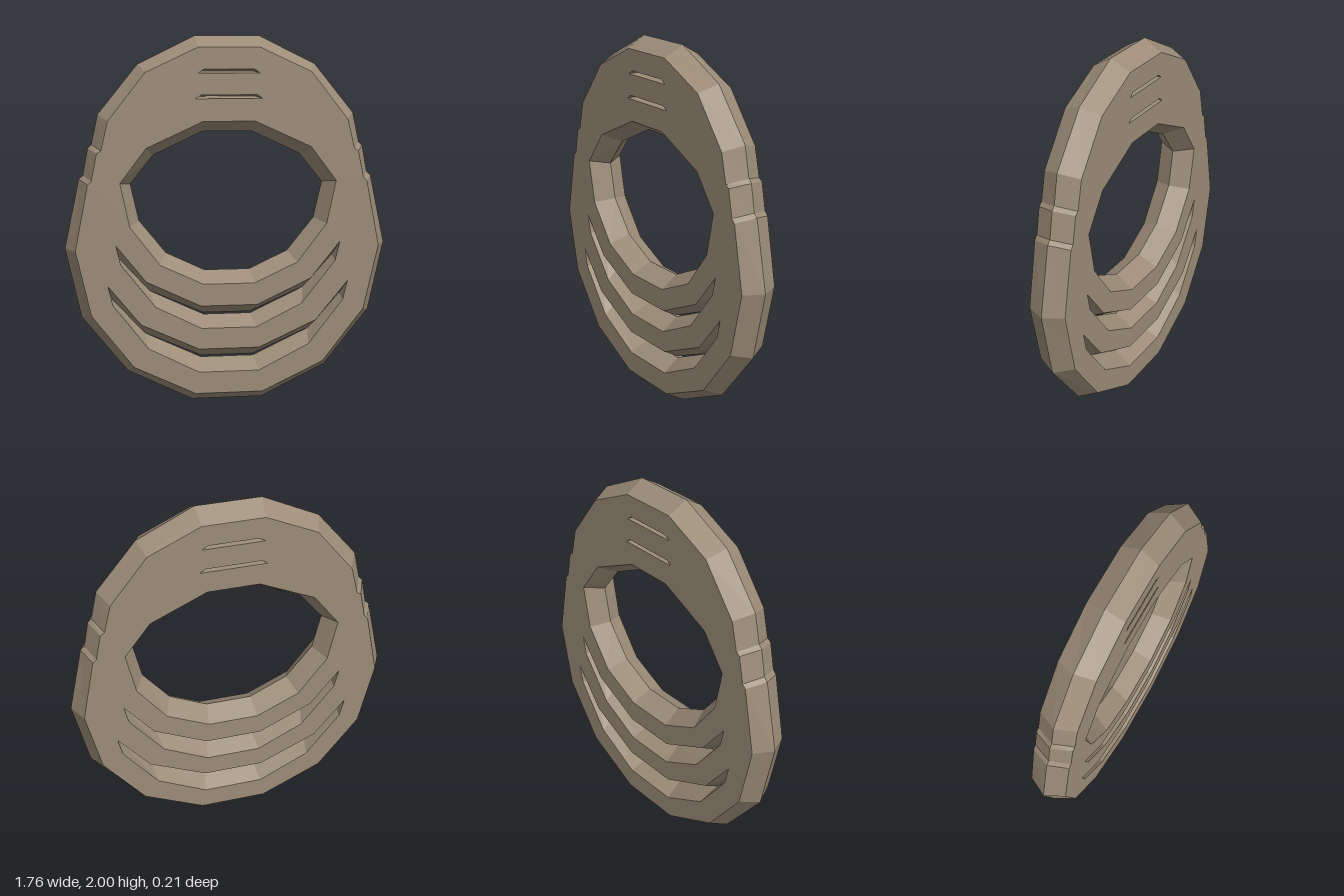
import * as THREE from 'three';

const DEPTH = 0.105; // half thickness

// Right-hand half outlines, top to bottom: [face x, face y, middle x, middle y]
const OUTER = [
  [0.165, 1.94, 0.175, 2.0], [0.445, 1.81, 0.48, 1.85], [0.645, 1.555, 0.695, 1.585],
  [0.682, 1.40, 0.73, 1.425], [0.705, 1.385, 0.75, 1.405], [0.735, 1.24, 0.778, 1.26],
  [0.755, 1.22, 0.80, 1.24], [0.825, 0.865, 0.88, 0.865], [0.745, 0.51, 0.797, 0.485],
  [0.52, 0.22, 0.55, 0.175], [0.185, 0.06, 0.195, 0.0],
];
const HOLES = {
  mainOpening: [
    [0.14, 1.55, 0.135, 1.49], [0.445, 1.41, 0.40, 1.365], [0.585, 1.225, 0.525, 1.21],
    [0.535, 0.99, 0.48, 1.01], [0.375, 0.78, 0.335, 0.83], [0.14, 0.67, 0.125, 0.73],
  ],
  upperCurvedSlot: [
    [0.155, 0.55, 0.13, 0.49], [0.45, 0.69, 0.425, 0.62], [0.61, 0.89, 0.588, 0.80],
    [0.585, 0.785, 0.588, 0.80], [0.40, 0.55, 0.425, 0.62], [0.15, 0.425, 0.13, 0.481],
  ],
  lowerCurvedSlot: [
    [0.165, 0.31, 0.145, 0.248], [0.48, 0.455, 0.455, 0.385], [0.655, 0.67, 0.632, 0.58],
    [0.63, 0.565, 0.632, 0.58], [0.44, 0.32, 0.455, 0.385], [0.165, 0.18, 0.145, 0.239],
  ],
  upperTopGroove: [[0.135, 1.825, 0.135, 1.813], [0.165, 1.805, 0.135, 1.813]],
  lowerTopGroove: [[0.15, 1.69, 0.15, 1.678], [0.18, 1.67, 0.15, 1.678]],
};

// Mirror a half outline into a closed clockwise loop
const mirror = (half) => [
  ...half,
  ...half.slice().reverse().map(([fx, fy, mx, my]) => [-fx, fy, -mx, my]),
];
const facePoints = (loop) => loop.map(([x, y]) => new THREE.Vector2(x, y));

// Pointed rim: front face edge -> middle ridge -> back face edge
function rimGeometry(loop, inward) {
  const pos = [];
  const tri = (a, b, c) => pos.push(...a, ...(inward ? c : b), ...(inward ? b : c));
  const quad = (a, b, c, d) => { tri(a, b, c); tri(a, c, d); };
  loop.forEach((p, i) => {
    const q = loop[(i + 1) % loop.length];
    const mp = [p[2], p[3], 0], mq = [q[2], q[3], 0];
    quad([p[0], p[1], DEPTH], [q[0], q[1], DEPTH], mq, mp);
    quad(mp, mq, [q[0], q[1], -DEPTH], [p[0], p[1], -DEPTH]);
  });
  const geo = new THREE.BufferGeometry();
  geo.setAttribute('position', new THREE.Float32BufferAttribute(pos, 3));
  geo.computeVertexNormals();
  return geo;
}

export function createModel() {
  const group = new THREE.Group();
  group.name = 'slottedRing';
  const material = new THREE.MeshStandardMaterial({ color: 0x9c8c78, flatShading: true });
  const add = (name, geo) => {
    const mesh = new THREE.Mesh(geo, material);
    mesh.name = name;
    group.add(mesh);
    return mesh;
  };

  // Flat front and back plates with all openings cut out
  const outer = mirror(OUTER);
  const shape = new THREE.Shape(facePoints(outer));
  for (const half of Object.values(HOLES)) shape.holes.push(new THREE.Path(facePoints(mirror(half))));
  const plate = new THREE.ShapeGeometry(shape);
  add('frontPlate', plate).position.z = DEPTH;
  const back = add('backPlate', plate);
  back.position.z = -DEPTH;
  back.rotation.y = Math.PI;

  // Bevelled walls
  add('outerRim', rimGeometry(outer, false));
  for (const [name, half] of Object.entries(HOLES)) add(name + 'Wall', rimGeometry(mirror(half), true));

  return group;
}
